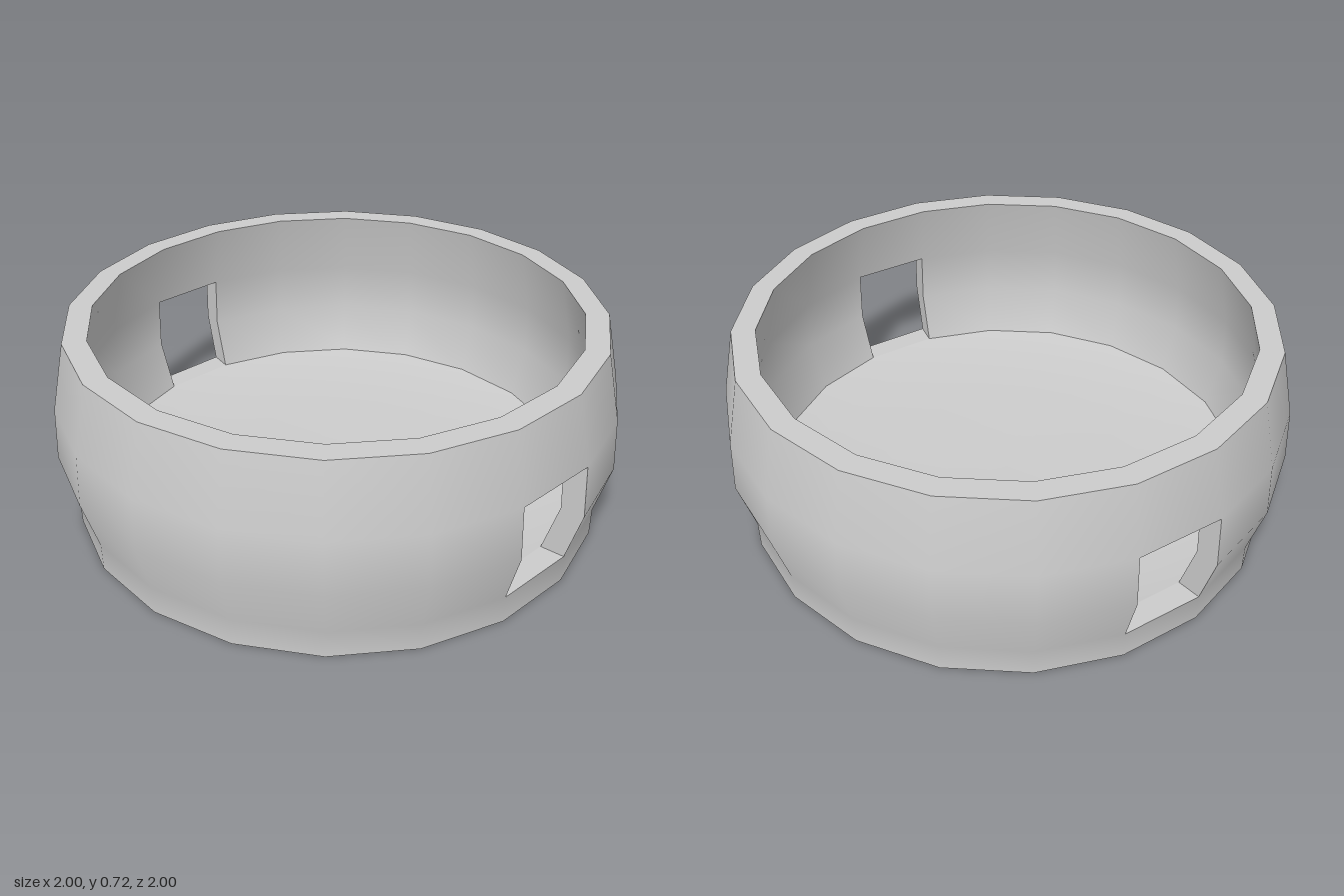
import * as THREE from 'three';

const SIDES = 20;
const STEP = (Math.PI * 2) / SIDES;
const START = THREE.MathUtils.degToRad(8.1);
const HOLES = [4, 14]; // side panels facing +x and -x

// Profiles as [radius, height]; the hole spans rows y = 0.1 to 0.475
const OUTER = [[0.957, 0], [0.957, 0.1], [1.009, 0.285], [0.998, 0.475], [0.945, 0.72]];
const INNER = [[0.862, 0.72], [0.915, 0.475], [0.925, 0.285], [0.87, 0.1]];
const FLOOR = [[0.87, 0.1], [0.73, 0.075], [0.45, 0.055], [0, 0.05]];

// Revolved surface; rows listed in skipRows are left open at the two hole panels
function revolve(profile, skipRows = []) {
  const geo = new THREE.LatheGeometry(
    profile.map(([r, y]) => new THREE.Vector2(r, y)), SIDES, START, Math.PI * 2);
  const rows = profile.length - 1;
  const src = geo.index.array;
  const kept = [];
  for (let i = 0; i < SIDES; i++) {
    for (let j = 0; j < rows; j++) {
      if (HOLES.includes(i) && skipRows.includes(j)) continue;
      const at = (i * rows + j) * 6;
      kept.push(...src.slice(at, at + 6));
    }
  }
  geo.setIndex(kept);
  return geo;
}

// Sill, jambs and lintel joining the outer and inner walls around one hole
function holeFrame(panel) {
  const corner = ([r, y], side) => {
    const a = START + (panel + side) * STEP;
    return [r * Math.sin(a), y, r * Math.cos(a)];
  };
  const loop = (rows) => [
    ...rows.map((p) => corner(p, 0)),
    ...rows.slice().reverse().map((p) => corner(p, 1)),
  ];
  const out = loop(OUTER.slice(1, 4));
  const inn = loop(INNER.slice(1).reverse());
  const pos = [];
  out.forEach((a, i) => {
    const n = (i + 1) % out.length;
    pos.push(...a, ...out[n], ...inn[n], ...a, ...inn[n], ...inn[i]);
  });
  const geo = new THREE.BufferGeometry();
  geo.setAttribute('position', new THREE.Float32BufferAttribute(pos, 3));
  geo.computeVertexNormals();
  return geo;
}

export function createModel() {
  const group = new THREE.Group();
  group.name = 'bowl';
  const material = new THREE.MeshStandardMaterial({ color: 0xcccccc, side: THREE.DoubleSide });
  const add = (name, geo) => {
    const mesh = new THREE.Mesh(geo, material);
    mesh.name = name;
    group.add(mesh);
  };

  // Walls with a hand hole on either side
  add('outerWall', revolve(OUTER, [1, 2]));
  add('innerWall', revolve(INNER, [1, 2]));

  // Flat rim, shallow dished floor and flat underside
  add('rim', revolve([OUTER[4], INNER[0]]));
  add('floor', revolve(FLOOR));
  add('base', revolve([[0, 0], OUTER[0]]));

  // Hand hole surrounds
  add('leftHandleHole', holeFrame(HOLES[0]));
  add('rightHandleHole', holeFrame(HOLES[1]));

  return group;
}
